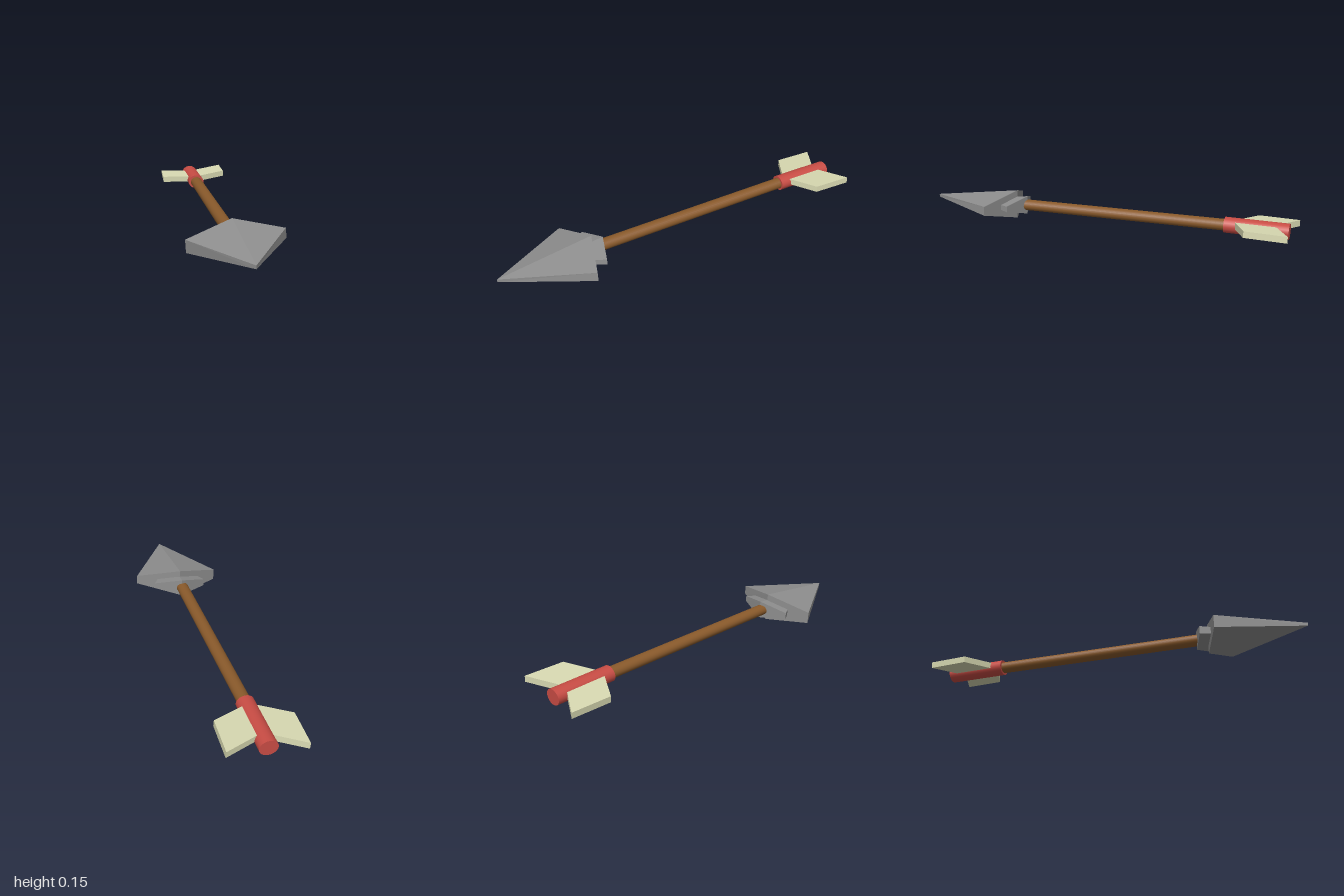
import * as THREE from 'three';

const material = (color, flatShading = false) => new THREE.MeshStandardMaterial({ color, flatShading });

function addMesh(parent, name, geometry, mat) {
  const mesh = new THREE.Mesh(geometry, mat);
  mesh.name = name;
  parent.add(mesh);
  return mesh;
}

// Faceted wedge: ridge at the back, thin vertical edges at the sides and tip
function bladeGeometry() {
  const corners = [
    [-0.007, 0.157, 0.5], [0.003, 0.003, 0.5],      // 0, 1 back ridge top, bottom
    [-0.235, 0.088, 0.585], [-0.231, 0.025, 0.585], // 2, 3 right barb
    [0.231, 0.121, 0.575], [0.235, 0.073, 0.575],   // 4, 5 left barb
    [0.005, 0.088, 0.997], [0.005, 0.072, 0.997],   // 6, 7 tip
  ];
  const faces = [
    [0, 2, 6], [0, 6, 4], [1, 7, 3], [1, 5, 7],
    [2, 3, 7, 6], [4, 6, 7, 5], [0, 1, 3, 2], [0, 4, 5, 1],
  ];
  const positions = [];
  for (const f of faces) {
    for (let i = 1; i < f.length - 1; i++) {
      for (const k of [f[0], f[i], f[i + 1]]) positions.push(...corners[k]);
    }
  }
  const geometry = new THREE.BufferGeometry();
  geometry.setAttribute('position', new THREE.Float32BufferAttribute(positions, 3));
  geometry.computeVertexNormals();
  return geometry;
}

// Slightly flattened rod between two points
function addRod(parent, name, from, to, radius, mat) {
  const a = new THREE.Vector3(...from);
  const b = new THREE.Vector3(...to);
  const geometry = new THREE.CylinderGeometry(radius, radius, a.distanceTo(b), 24);
  geometry.rotateX(Math.PI / 2).scale(1, 0.88, 1);
  const rod = addMesh(parent, name, geometry, mat);
  rod.position.copy(a).lerp(b, 0.5);
  rod.lookAt(b);
}

// Swept vane, extruded downwards from its outline in x and z
function vaneGeometry(side) {
  const outline = [[0, 0.11], [0.188, 0.015], [0.188, -0.192], [0, -0.095]];
  const shape = new THREE.Shape(outline.map(([x, z]) => new THREE.Vector2(side * x, z)));
  const thickness = 0.032;
  return new THREE.ExtrudeGeometry(shape, { depth: thickness, bevelEnabled: false })
    .rotateX(Math.PI / 2)
    .translate(0, thickness / 2, 0);
}

export function createModel() {
  const arrow = new THREE.Group();
  arrow.name = 'arrow';

  const stone = material(0x8f8f8f, true);
  const wood = material(0x8a5a2b);
  const red = material(0xc84c44);
  const feather = material(0xd9dab2, true);

  // Arrowhead with a smaller copy behind it
  addMesh(arrow, 'arrowhead', bladeGeometry(), stone);
  const collar = addMesh(arrow, 'arrowheadCollar', bladeGeometry(), stone);
  collar.scale.setScalar(0.63);
  collar.position.set(0, 0.031, 0.125);

  // Shaft and tail sleeve
  addRod(arrow, 'shaft', [-0.024, 0.092, -0.7], [-0.006, 0.079, 0.55], 0.033, wood);
  addRod(arrow, 'tailSleeve', [-0.027, 0.092, -0.968], [-0.024, 0.092, -0.65], 0.045, red);

  // Pair of vanes, tilted with the head
  const fletching = new THREE.Group();
  fletching.name = 'fletching';
  fletching.position.set(-0.024, 0.1, -0.798);
  fletching.rotation.set(0, -0.03, 0.08);
  for (const side of [-1, 1]) {
    addMesh(fletching, side > 0 ? 'leftVane' : 'rightVane', vaneGeometry(side), feather);
  }
  arrow.add(fletching);

  return arrow;
}
